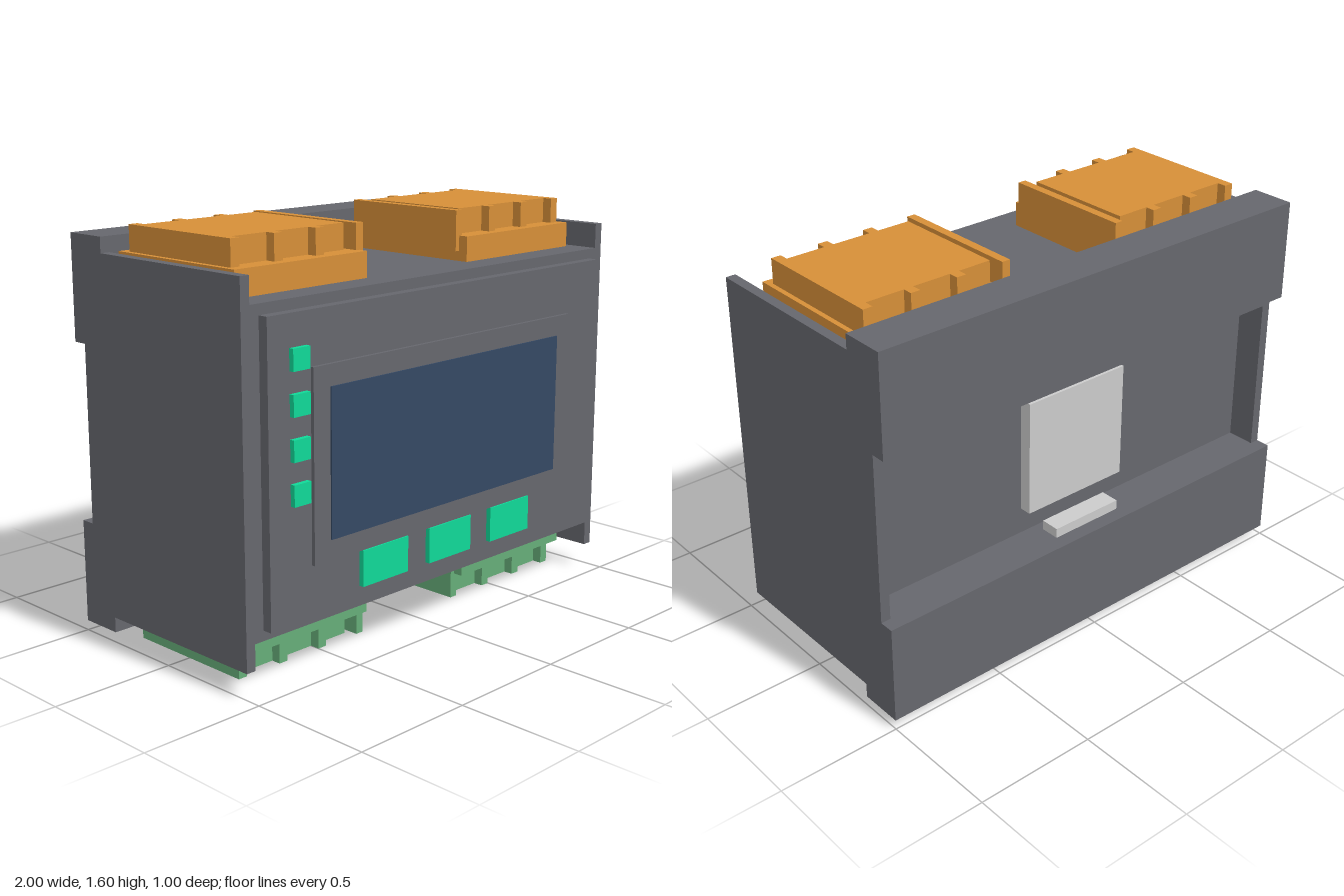
import * as THREE from 'three';

const paint = (color) => new THREE.MeshStandardMaterial({ color });

// Box given by its limits on each axis
function block(parent, name, material, [x0, x1], [y0, y1], [z0, z1]) {
  const geometry = new THREE.BoxGeometry(Math.abs(x1 - x0), Math.abs(y1 - y0), Math.abs(z1 - z0));
  const mesh = new THREE.Mesh(geometry, material);
  mesh.position.set((x0 + x1) / 2, (y0 + y1) / 2, (z0 + z1) / 2);
  mesh.name = name;
  parent.add(mesh);
  return mesh;
}

// Plug-in terminal: base, ribbed plug and inner fin; sx and sy choose the corner
function terminal(name, material, sx, sy) {
  const MID = 0.8;
  const group = new THREE.Group();
  group.name = name;
  const add = (part, xs, ys, zs) =>
    block(group, part, material, xs.map((x) => x * sx), ys.map((y) => MID + y * sy), zs);

  add('terminalBase', [0.28, 0.92], [0.6, 0.7], [-0.32, 0.32]);
  add('terminalPlug', [0.32, 0.9], [0.7, 0.8], [-0.24, 0.24]);
  add('terminalFin', [0.26, 0.295], [0.64, 0.8], [-0.28, 0.28]);
  for (const x of [0.46, 0.66, 0.86]) {
    for (const sz of [-1, 1]) {
      add('terminalRib', [x, x + 0.04], [0.7, 0.8], [0.24 * sz, 0.28 * sz]);
    }
  }
  return group;
}

export function createModel() {
  const model = new THREE.Group();
  model.name = 'railController';
  const grey = paint(0x66676d);
  const orange = paint(0xd68f38);
  const green = paint(0x66ad78);
  const teal = paint(0x10d898);
  const navy = paint(0x344863);
  const light = paint(0xcccccc);

  // Housing core between the side plates
  block(model, 'housingCore', grey, [-0.96, 0.96], [0.2, 1.4], [-0.32, 0.44]);

  // Side plates with the shallow rail notch at the back
  const outline = [
    [0.44, 0.1], [0.44, 1.5], [-0.32, 1.5], [-0.32, 1.56], [-0.5, 1.56], [-0.5, 1.15],
    [-0.44, 1.15], [-0.44, 0.45], [-0.5, 0.45], [-0.5, 0.04], [-0.32, 0.04], [-0.32, 0.1],
  ];
  const shape = new THREE.Shape(outline.map(([z, y]) => new THREE.Vector2(-z, y)));
  const plate = new THREE.ExtrudeGeometry(shape, { depth: 0.04, bevelEnabled: false });
  plate.rotateY(Math.PI / 2);
  for (const [name, x] of [['leftSidePlate', 0.96], ['rightSidePlate', -1]]) {
    const mesh = new THREE.Mesh(plate, grey);
    mesh.name = name;
    mesh.position.x = x;
    model.add(mesh);
  }

  // Back beams and the lip that hooks over the mounting rail
  block(model, 'upperBackBeam', grey, [-0.96, 0.96], [1.15, 1.56], [-0.5, -0.32]);
  block(model, 'lowerBackBeam', grey, [-0.96, 0.96], [0.04, 0.45], [-0.5, -0.32]);
  block(model, 'railLip', grey, [-0.96, 0.96], [1.1, 1.15], [-0.44, -0.32]);

  // Rail clip
  block(model, 'clipPlate', light, [-0.24, 0.24], [0.56, 1.04], [-0.37, -0.32]);
  block(model, 'clipCatch', light, [-0.16, 0.16], [0.45, 0.49], [-0.44, -0.36]);

  // Front panel and display
  block(model, 'frontPanel', grey, [-0.92, 0.92], [0.24, 1.36], [0.44, 0.48]);
  block(model, 'displayBezel', grey, [-0.72, 0.72], [0.44, 1.16], [0.48, 0.494]);
  block(model, 'displayScreen', navy, [-0.64, 0.64], [0.52, 1.08], [0.494, 0.5]);

  // Indicator lights and buttons
  for (let i = 0; i < 4; i++) {
    const y = 0.68 + i * 0.16;
    block(model, 'indicatorLight', teal, [-0.82, -0.74], [y, y + 0.08], [0.48, 0.5]);
  }
  for (const x of [-0.36, 0, 0.36]) {
    block(model, 'button', teal, [x - 0.12, x + 0.12], [0.3, 0.44], [0.48, 0.5]);
  }

  // Terminals: orange on top, green underneath
  for (const sx of [-1, 1]) {
    const side = sx > 0 ? 'Left' : 'Right';
    model.add(terminal('top' + side + 'Terminal', orange, sx, 1));
    model.add(terminal('bottom' + side + 'Terminal', green, sx, -1));
  }
  return model;
}
